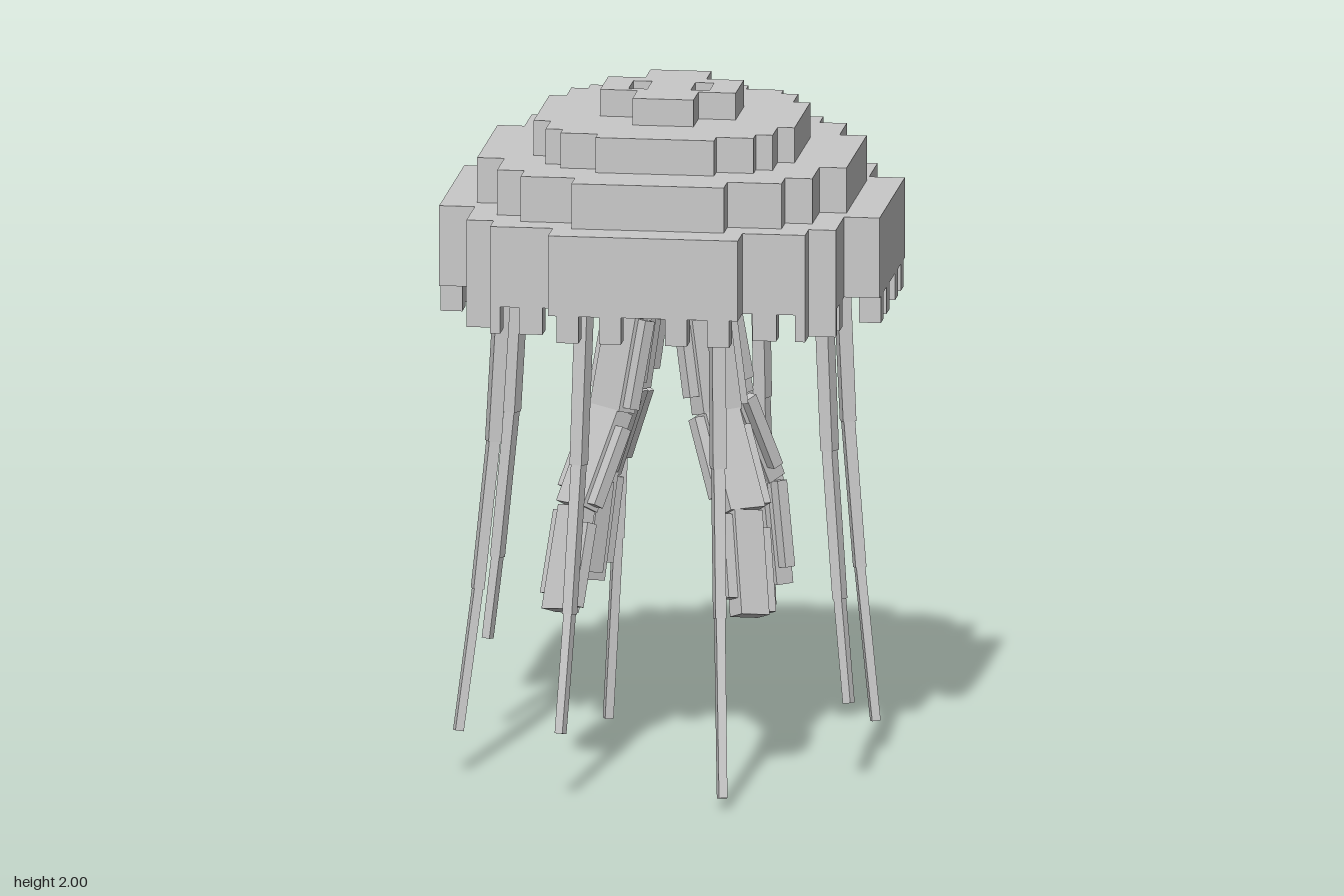
import * as THREE from 'three';

const CZ = -0.055; // bell centre in z

export function createModel() {
  const model = new THREE.Group();
  const grey = new THREE.MeshStandardMaterial({ color: 0xc8c8c8 });
  grey.name = 'grey';

  const add = (parent, name, geometry) => {
    const mesh = new THREE.Mesh(geometry, grey);
    mesh.name = name;
    parent.add(mesh);
    return mesh;
  };
  const group = (name) => {
    const g = new THREE.Group();
    g.name = name;
    model.add(g);
    return g;
  };

  // Stepped round slab; steps are outer corners [x, z] of one quadrant, from front to side
  const tier = (parent, name, steps, y0, y1, holes = []) => {
    const quadrant = [];
    steps.forEach(([x, z], i) => {
      quadrant.push([x, z]);
      if (i < steps.length - 1) quadrant.push([x, steps[i + 1][1]]);
    });
    const back = quadrant.slice().reverse();
    const outline = [
      ...quadrant,
      ...back.map(([x, z]) => [x, -z]),
      ...quadrant.map(([x, z]) => [-x, -z]),
      ...back.map(([x, z]) => [-x, z]),
    ];
    const shape = new THREE.Shape(outline.map(([x, z]) => new THREE.Vector2(x, z)));
    for (const h of holes) shape.holes.push(new THREE.Path(h.map(([x, z]) => new THREE.Vector2(x, z))));
    const geo = new THREE.ExtrudeGeometry(shape, { depth: y1 - y0, bevelEnabled: false });
    geo.rotateX(-Math.PI / 2).translate(0, y0, CZ);
    return add(parent, name, geo);
  };

  // Bell made of four stacked tiers, with two square pits in the crown
  const bell = group('bell');
  tier(bell, 'bellRim', [[0.28, 0.65], [0.465, 0.545], [0.545, 0.465], [0.65, 0.28]], 1.44, 1.68);
  tier(bell, 'bellShoulder', [[0.225, 0.545], [0.385, 0.465], [0.465, 0.385], [0.545, 0.225]], 1.68, 1.815);
  tier(bell, 'bellUpper', [[0.175, 0.385], [0.285, 0.335], [0.335, 0.285], [0.385, 0.175]], 1.815, 1.92);
  const pits = [0.0915, -0.0915].map((c) => [[c - 0.0275, -0.065], [c + 0.0275, -0.065], [c + 0.0275, 0.04], [c - 0.0275, 0.04]]);
  tier(bell, 'crown', [[0.09, 0.2], [0.2, 0.09]], 1.92, 2.0, pits);
  tier(bell, 'mouthBase', [[0.1, 0.22], [0.17, 0.17], [0.22, 0.1]], 1.345, 1.44);

  // Teeth hanging from the rim as [x, z, width, depth], mirrored across the diagonal and both axes
  const teeth = group('rimTeeth');
  const spots = [[0.0975, 0.6175, 0.065, 0.065], [0.2225, 0.6175, 0.065, 0.065], [0.345, 0.5125, 0.07, 0.065], [0.45, 0.505, 0.03, 0.08]];
  for (const sx of [1, -1]) for (const sz of [1, -1]) for (const [x, z, w, d] of spots) {
    add(teeth, 'tooth', new THREE.BoxGeometry(w, 0.08, d).translate(sx * x, 1.4, CZ + sz * z));
    add(teeth, 'tooth', new THREE.BoxGeometry(d, 0.08, w).translate(sx * z, 1.4, CZ + sz * x));
  }

  // Tapered bar from a to b, its broad side facing outward along the angle
  const bar = (parent, name, a, b, width, depth, taper, angle, offset = [0, 0, 0]) => {
    const length = a.distanceTo(b);
    const geo = new THREE.CylinderGeometry(Math.SQRT1_2, Math.SQRT1_2 * taper, length, 4, 1)
      .toNonIndexed().rotateY(Math.PI / 4).scale(width, 1, depth);
    geo.computeVertexNormals();
    geo.translate(...offset);
    const y = a.clone().sub(b).normalize();
    const x = new THREE.Vector3(Math.cos(angle), 0, -Math.sin(angle));
    x.addScaledVector(y, -x.dot(y)).normalize();
    const z = x.clone().cross(y);
    const m = new THREE.Matrix4().makeBasis(x, y, z);
    m.setPosition(a.clone().add(b).multiplyScalar(0.5));
    return add(parent, name, geo.applyMatrix4(m));
  };

  // Eight thin tentacles of three segments, all swept a little to the front
  const tentacles = group('tentacles');
  const ends = [0.03, 0.24, 0.09, 0.35, 0.0, 0.3, 0.13, 0.2];
  ends.forEach((end, i) => {
    const angle = (i + 0.5) * Math.PI / 4;
    const points = [1.44, 0.97, 0.54, end].map((y) => {
      const f = Math.pow((1.44 - y) / 1.44, 1.5);
      const r = 0.512 + 0.135 * f;
      return new THREE.Vector3(Math.sin(angle) * r, y, CZ + Math.cos(angle) * r + 0.15 * f);
    });
    [0.042, 0.034, 0.027].forEach((w, k) => bar(tentacles, 'tentacleSegment', points[k], points[k + 1], w, w, 0.95, angle));
  });

  // Four broad arms on the diagonals: core plates, side frills and an inner rib
  const arms = group('arms');
  const widths = [0.14, 0.125, 0.1];
  for (let i = 0; i < 4; i++) {
    const angle = (i + 0.5) * Math.PI / 2;
    const front = Math.cos(angle) > 0;
    const points = [[0.105, 1.38, 0], [0.155, 1.06, 0.01], [0.245, 0.79, 0.03], [0.28, front ? 0.5 : 0.475, 0.1]].map(
      ([d, y, sway]) => new THREE.Vector3(Math.sign(Math.sin(angle)) * d, y, CZ + Math.sign(Math.cos(angle)) * d + sway));
    widths.forEach((w, k) => {
      const a = points[k], b = points[k + 1];
      bar(arms, 'armCore', a, b, w, 0.06, 1, angle);
      bar(arms, 'armRib', a.clone().lerp(b, 0.08), b.clone().lerp(a, 0.08), w * 0.55, 0.05, 1, angle, [0, 0, -0.02]);
      for (const s of [1, -1]) {
        const shift = s * 0.06;
        bar(arms, 'armFrill', a.clone().lerp(b, 0.1 + shift), b.clone().lerp(a, 0.1 - shift), 0.035, 0.035, 1, angle, [s * (w / 2 + 0.016), 0, 0]);
      }
    });
  }

  return model;
}
